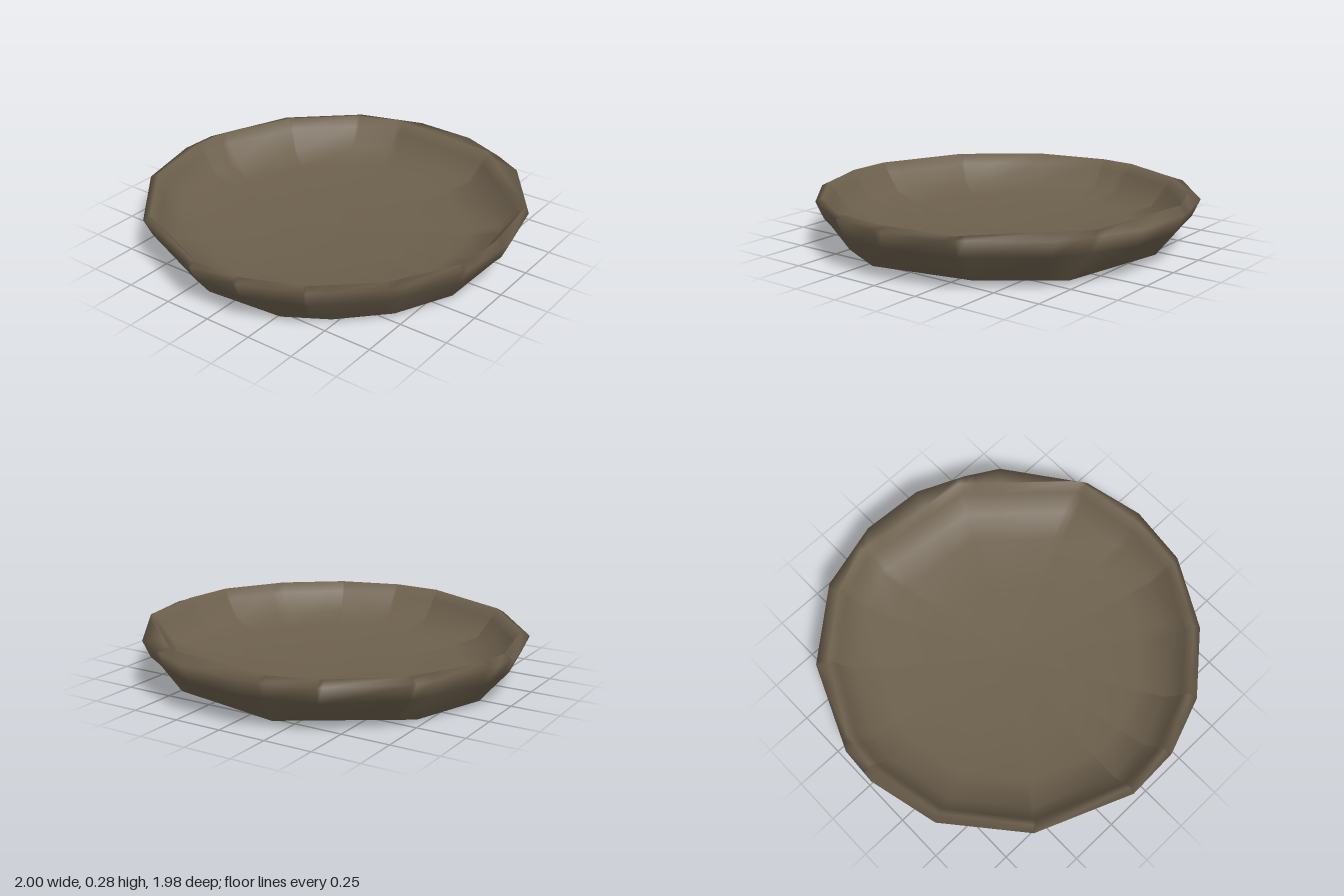
import * as THREE from 'three';

// Irregular polygons (x, z) that shape the dish
const base = [[.83, .17], [.69, .46], [.48, .67], [.27, .79], [-.15, .82], [-.61, .56], [-.84, -.01], [-.71, -.42],
  [-.16, -.81], [.45, -.71], [.72, -.36]];
const outer = [[1, -.05], [.96, .27], [.76, .62], [.47, .87], [.17, .98], [-.11, .99], [-.6, .79], [-.91, .42], [-1, .05],
  [-.99, -.15], [-.8, -.6], [-.46, -.89], [-.1, -.99], [.23, -.97], [.48, -.86], [.65, -.76], [.93, -.37]];
const crest = [[.95, 0], [.92, .28], [.73, .6], [.46, .83], [.15, .95], [-.1, .96], [-.57, .77], [-.87, .4], [-.95, 0],
  [-.93, -.2], [-.74, -.57], [-.45, -.82], [-.22, -.91], [.42, -.84], [.9, -.4]];

// Every corner direction becomes one column of the mesh
const angles = [...base, ...outer, ...crest].map(([x, z]) => Math.atan2(z, x)).sort((a, b) => a - b)
  .filter((a, i, all) => i === 0 || a - all[i - 1] > 0.004);

// Distance from the centre to a polygon's edge in a given direction
function reach(poly, angle) {
  const dx = Math.cos(angle), dz = Math.sin(angle);
  let best = 0;
  poly.forEach(([ax, az], i) => {
    const [bx, bz] = poly[(i + 1) % poly.length];
    const ex = bx - ax, ez = bz - az, d = dx * ez - dz * ex;
    const t = (ax * ez - az * ex) / d, u = (ax * dz - az * dx) / d;
    if (t > 0 && u > -1e-6 && u < 1 + 1e-6) best = Math.max(best, t);
  });
  return best;
}

// The dish sits very slightly tilted
const tilt = (x, z) => 0.012 + 0.011 * x - 0.008 * z;

// Smooth skin through rings given as [polygon, scale, height]
function skin(rings) {
  const pos = [], index = [], n = angles.length;
  rings.forEach(([poly, scale, y], j) => angles.forEach((a, i) => {
    const r = reach(poly, a) * scale, x = r * Math.cos(a), z = r * Math.sin(a);
    pos.push(x, y + tilt(x, z), z);
    if (j === rings.length - 1) return;
    const p = j * n + i, q = j * n + (i + 1) % n;
    index.push(p, p + n, q, q, p + n, q + n);
  }));
  const g = new THREE.BufferGeometry();
  g.setAttribute('position', new THREE.Float32BufferAttribute(pos, 3));
  g.setIndex(index);
  g.computeVertexNormals();
  return g;
}

export function createModel() {
  const group = new THREE.Group();
  const brown = new THREE.MeshStandardMaterial({ color: 0x6c5f4c });
  brown.name = 'earthBrown';
  const grey = new THREE.MeshStandardMaterial({ color: 0xcbc7c4 });
  grey.name = 'paleGrey';
  const add = (name, geometry, material) => {
    const mesh = new THREE.Mesh(geometry, material);
    mesh.name = name;
    group.add(mesh);
  };

  // Flat underside
  add('underside', skin([[base, 0, 0], [base, 1, 0]]), brown);

  // Flared wall, rounded rim and hollow
  add('bowl', skin([
    [base, 1, 0], [outer, .96, .15], [outer, 1, .238], [crest, 1, .257],
    [crest, .96, .205], [crest, .88, .105], [crest, .72, .065], [crest, .4, .04], [crest, 0, .03],
  ]), brown);

  // Wavy pale patch on the underside
  const outline = [[.12, .37], [.13, .26], [.05, .19], [-.07, .21], [-.19, .29], [-.3, .28],
    [-.35, .32], [-.36, .42], [-.27, .5], [-.14, .45], [-.04, .42], [.04, .44]];
  const curve = new THREE.SplineCurve([...outline, outline[0]].map(([x, z]) => new THREE.Vector2(x, z)));
  const patch = new THREE.ShapeGeometry(new THREE.Shape(curve.getPoints(48).slice(0, -1))).rotateX(Math.PI / 2);
  const p = patch.attributes.position;
  for (let i = 0; i < p.count; i++) p.setY(i, tilt(p.getX(i), p.getZ(i)) - 0.003);
  add('undersidePatch', patch, grey);

  return group;
}
